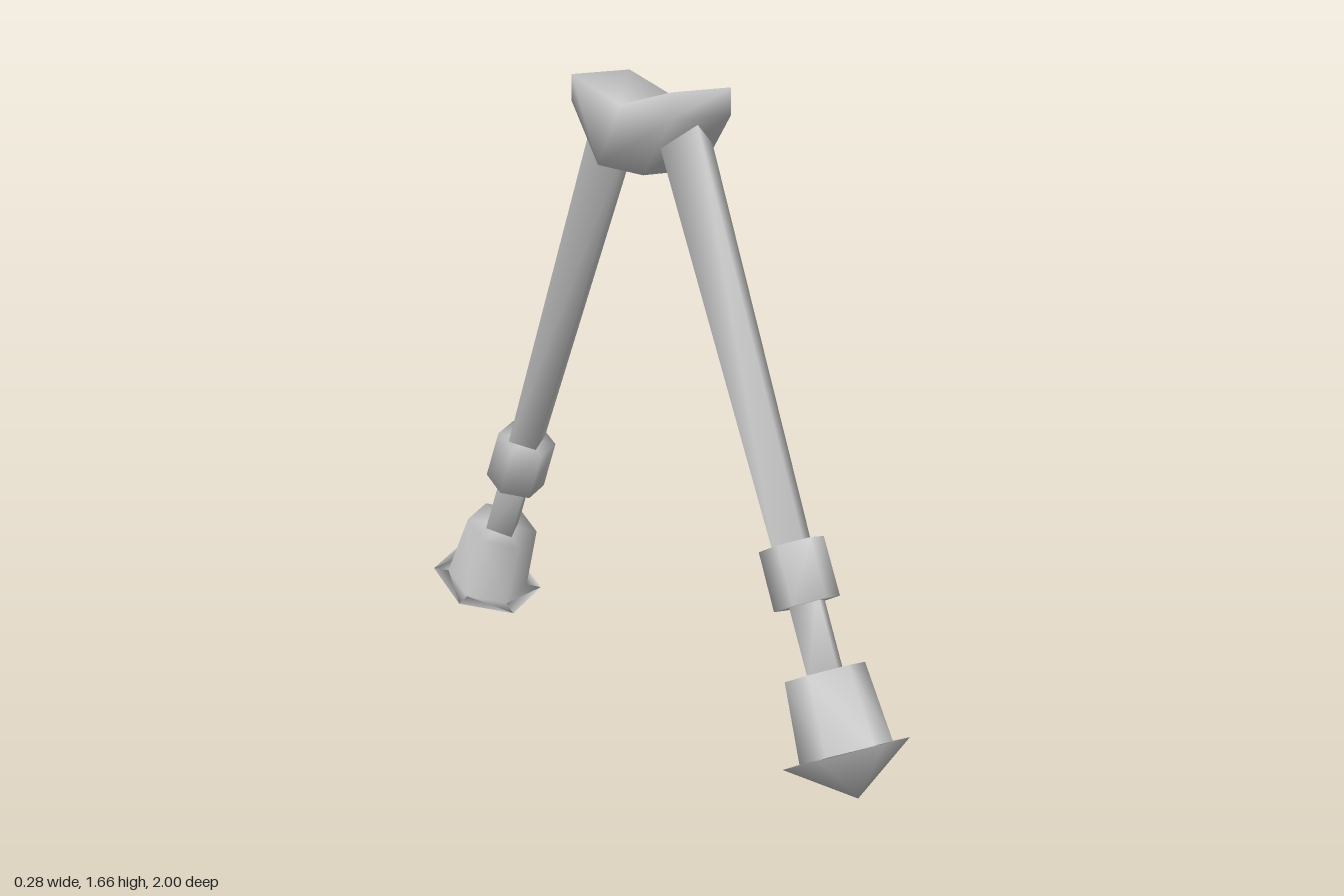
import * as THREE from 'three';
import { mergeVertices } from 'three/addons/utils/BufferGeometryUtils.js';

const material = new THREE.MeshStandardMaterial({ color: 0xcccccc });

// Welds a low-poly geometry so that its normals run smoothly round the corners
function smoothPart(name, geometry) {
  geometry.deleteAttribute('normal');
  geometry.deleteAttribute('uv');
  const welded = mergeVertices(geometry, 1e-4);
  welded.computeVertexNormals();
  const mesh = new THREE.Mesh(welded, material);
  mesh.name = name;
  return mesh;
}

// Upright prism between two heights, with one corner facing outward (+z)
function prism(name, sides, bottomRadius, topRadius, y0, y1, depth = 1) {
  const g = new THREE.CylinderGeometry(topRadius, bottomRadius, y1 - y0, sides);
  g.translate(0, (y0 + y1) / 2, 0);
  g.scale(1, 1, depth);
  return smoothPart(name, g);
}

// One leg, built along its own axis from the foot rim upward
function makeLeg() {
  const leg = new THREE.Group();

  // Six-sided foot: pointed sole, wide rim and tapered boot
  const profile = [[0, -0.112], [0.161, 0], [0.118, 0.002], [0.102, 0.204], [0, 0.204]]
    .map(([r, y]) => new THREE.Vector2(r, y));
  leg.add(smoothPart('foot', new THREE.LatheGeometry(profile, 6)));

  leg.add(prism('lowerStrut', 4, 0.055, 0.055, 0.19, 0.4));
  leg.add(prism('collar', 6, 0.084, 0.083, 0.376, 0.528));
  leg.add(prism('upperTube', 4, 0.06, 0.081, 0.5, 1.62, 0.86));

  leg.position.set(0, 0.11, 0.855);
  leg.rotation.x = -0.4556;
  return leg;
}

export function createModel() {
  const model = new THREE.Group();
  model.name = 'bipod';

  // Hub: side outline with a shallow V on top, extruded across x
  const outline = new THREE.Shape([
    [-0.23, 1.665], [-0.23, 1.595], [-0.105, 1.442], [0.105, 1.442],
    [0.23, 1.595], [0.23, 1.665], [0, 1.61],
  ].map(([z, y]) => new THREE.Vector2(z, y)));
  const hub = new THREE.ExtrudeGeometry(outline, { depth: 0.182, bevelEnabled: false });
  hub.translate(0, 0, -0.091);
  hub.rotateY(Math.PI / 2);
  model.add(smoothPart('hub', hub));

  // Matching legs to the front and back
  ['frontLeg', 'backLeg'].forEach((name, i) => {
    const side = new THREE.Group();
    side.name = name;
    side.add(makeLeg());
    side.rotation.y = i * Math.PI;
    model.add(side);
  });
  return model;
}
